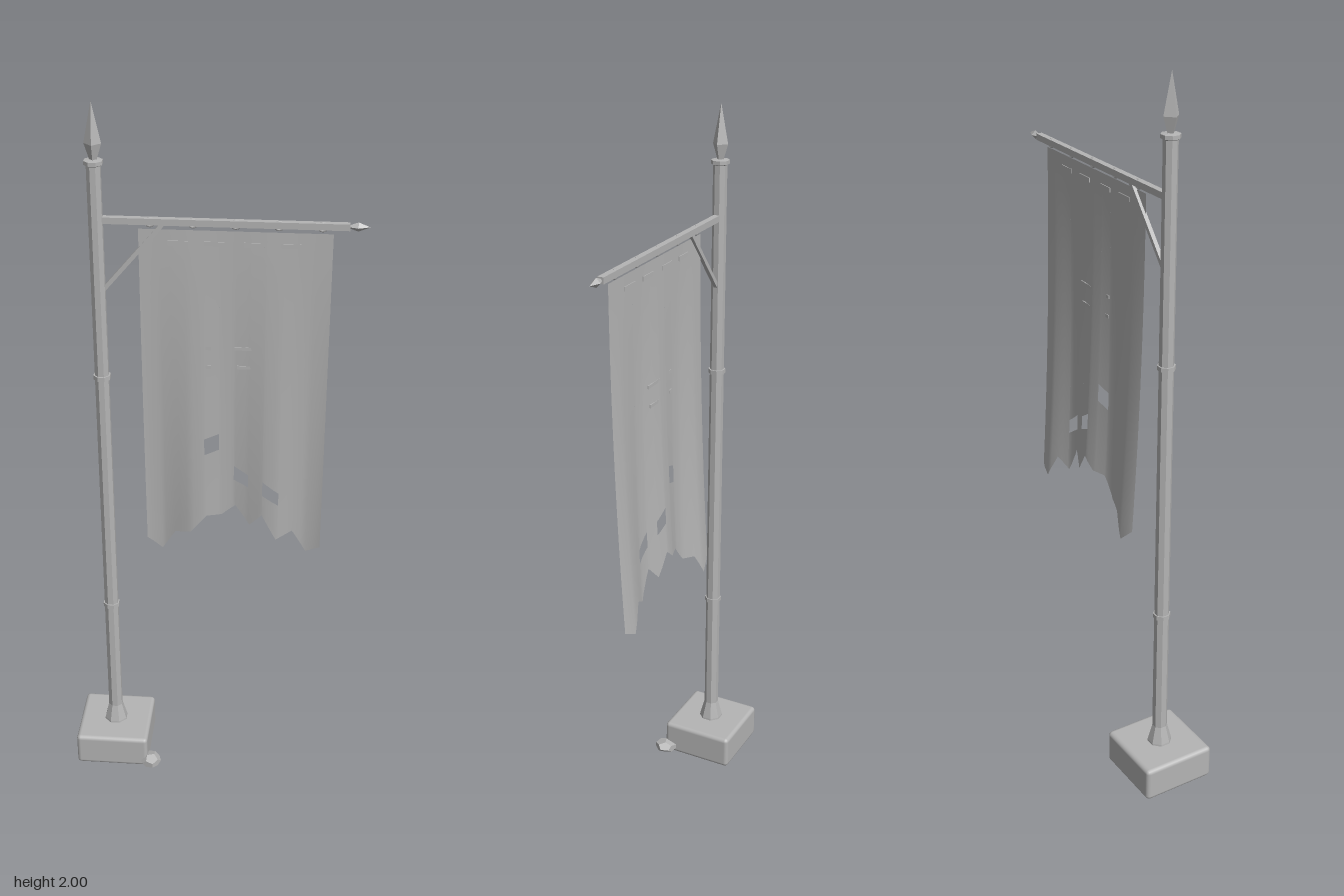
import * as THREE from 'three';
import { mergeVertices } from 'three/addons/utils/BufferGeometryUtils.js';
import { RoundedBoxGeometry } from 'three/addons/geometries/RoundedBoxGeometry.js';

const grey = new THREE.MeshStandardMaterial({ color: 0xb4b4b4, side: THREE.DoubleSide });
grey.name = 'weathered grey';
const PX = -0.292, PZ = -0.015, ARM_Y = 1.7;

// Give every facet its own normal
function faceted(geometry) {
  const g = geometry.index ? geometry.toNonIndexed() : geometry;
  g.computeVertexNormals();
  return g;
}
function part(group, name, geometry, x = 0, y = 0, z = 0) {
  const mesh = new THREE.Mesh(geometry, grey);
  mesh.name = name;
  mesh.position.set(x, y, z);
  group.add(mesh);
  return mesh;
}
const lathe = (points, sides) =>
  faceted(new THREE.LatheGeometry(points.map(p => new THREE.Vector2(...p)), sides));

// Ragged lower edge of the cloth, left to right
const HEM = [[-0.185, 0.74], [-0.143, 0.70], [-0.105, 0.765], [-0.06, 0.775], [-0.015, 0.83],
  [0.027, 0.83], [0.065, 0.86], [0.105, 0.80], [0.14, 0.84], [0.18, 0.76], [0.225, 0.785],
  [0.265, 0.71], [0.305, 0.73]];
// Tears: x0, x1, then bottom and top at x0, bottom and top at x1
const TEARS = [[-0.02, 0.02, 1.03, 1.08, 1.045, 1.095], [0.06, 0.10, 0.945, 0.99, 0.925, 0.965],
  [0.14, 0.185, 0.905, 0.95, 0.875, 0.915]];
const CLOTH_TOP = 1.68;

const lerp = THREE.MathUtils.lerp;
function hemY(x) {
  const i = Math.max(1, HEM.findIndex(p => p[0] >= x - 1e-6));
  const [a, b] = [HEM[i - 1], HEM[i]];
  return lerp(a[1], b[1], (x - a[0]) / (b[0] - a[0]));
}
// Folds deepen and the cloth drifts back towards the hem
function clothZ(x, y) {
  const t = (CLOTH_TOP - y) / 0.98;
  return -0.012 - 0.031 * t * t - 0.012 * t * Math.cos(2 * Math.PI * (x - 0.06) / 0.205);
}

function clothGeometry() {
  const cuts = [...HEM.map(p => p[0]), ...TEARS.flatMap(t => [t[0], t[1]])];
  for (let x = -0.17; x < 0.3; x += 0.02) {
    if (cuts.every(c => Math.abs(c - x) > 0.008)) cuts.push(x);
  }
  const xs = [...new Set(cuts)].sort((a, b) => a - b);
  const pos = [];
  // Quad grid between two vertical edges, each given as [x, low, high]
  const strip = (a, b, rows) => {
    const at = (e, k) => {
      const y = lerp(e[1], e[2], k / rows);
      return [e[0], y, clothZ(e[0], y)];
    };
    for (let k = 0; k < rows; k++) {
      const p = at(a, k), q = at(b, k), r = at(b, k + 1), s = at(a, k + 1);
      pos.push(...p, ...q, ...r, ...p, ...r, ...s);
    }
  };
  for (let i = 0; i + 1 < xs.length; i++) {
    const [x0, x1] = [xs[i], xs[i + 1]], mid = (x0 + x1) / 2;
    const tear = TEARS.find(t => mid > t[0] && mid < t[1]);
    const waist = x => {
      if (!tear) return [1, 1];
      const u = (x - tear[0]) / (tear[1] - tear[0]);
      return [lerp(tear[2], tear[4], u), lerp(tear[3], tear[5], u)];
    };
    const [w0, w1] = [waist(x0), waist(x1)];
    strip([x0, hemY(x0), w0[0]], [x1, hemY(x1), w1[0]], 5);
    strip([x0, w0[1], CLOTH_TOP], [x1, w1[1], CLOTH_TOP], 14);
  }
  const g = new THREE.BufferGeometry();
  g.setAttribute('position', new THREE.Float32BufferAttribute(pos, 3));
  const merged = mergeVertices(g, 1e-4);
  merged.computeVertexNormals();
  return merged;
}

export function createModel() {
  const model = new THREE.Group();
  model.name = 'tatteredBanner';

  // Stone foot with a loose stone at its corner
  part(model, 'base', new RoundedBoxGeometry(0.214, 0.1, 0.214, 2, 0.012), PX, 0.05, PZ);
  const stone = part(model, 'looseStone', faceted(new THREE.DodecahedronGeometry(1, 0)), -0.176, 0.023, 0.085);
  stone.scale.set(0.031, 0.019, 0.034);
  stone.rotation.y = 0.3;

  // Octagonal pole with flared foot and collar
  const pole = part(model, 'pole', lathe([[0.035, 0.095], [0.034, 0.105], [0.021, 0.155], [0.019, 1.84],
    [0.025, 1.843], [0.025, 1.853], [0, 1.856]], 8), PX, 0, PZ);
  pole.rotation.y = Math.PI / 8;
  for (const y of [0.525, 1.262]) {
    const band = part(model, 'poleBand', faceted(new THREE.CylinderGeometry(0.024, 0.024, 0.012, 8)), PX, y, PZ);
    band.rotation.y = Math.PI / 8;
  }
  part(model, 'finial', lathe([[0.008, 1.85], [0.022, 1.895], [0, 2]], 4), PX, 0, PZ);

  // Cross arm, its pointed tip and the diagonal brace
  part(model, 'arm', new THREE.BoxGeometry(0.62, 0.017, 0.017), 0.035, ARM_Y, PZ);
  const tip = part(model, 'armTip', lathe([[0.004, 0], [0.012, 0.022], [0, 0.052]], 4), 0.343, ARM_Y, PZ);
  tip.rotation.z = -Math.PI / 2;
  const from = new THREE.Vector2(-0.28, 1.51), to = new THREE.Vector2(-0.122, 1.695);
  const brace = part(model, 'brace', new THREE.BoxGeometry(from.distanceTo(to), 0.011, 0.011),
    (from.x + to.x) / 2, (from.y + to.y) / 2, PZ);
  brace.rotation.z = Math.atan2(to.y - from.y, to.x - from.x);

  // Rings that hold the cloth
  for (let i = 0; i < 5; i++) {
    part(model, 'ring', new THREE.TorusGeometry(0.01, 0.004, 6, 12), -0.155 + i * 0.108, 1.697, PZ);
  }

  // Hanging cloth with thin stitches and worn emblem scraps
  part(model, 'cloth', clothGeometry());
  for (const x of [-0.085, 0.007, 0.108, 0.2]) {
    part(model, 'stitch', new THREE.BoxGeometry(0.052, 0.012, 0.004), x, 1.645, clothZ(x, 1.645));
  }
  for (const [x, y, w] of [[-0.008, 1.355, 0.014], [0.09, 1.355, 0.06], [-0.008, 1.3, 0.014], [0.09, 1.3, 0.045]]) {
    part(model, 'emblemScrap', new THREE.BoxGeometry(w, 0.009, 0.003), x, y, clothZ(x, y));
  }
  return model;
}
